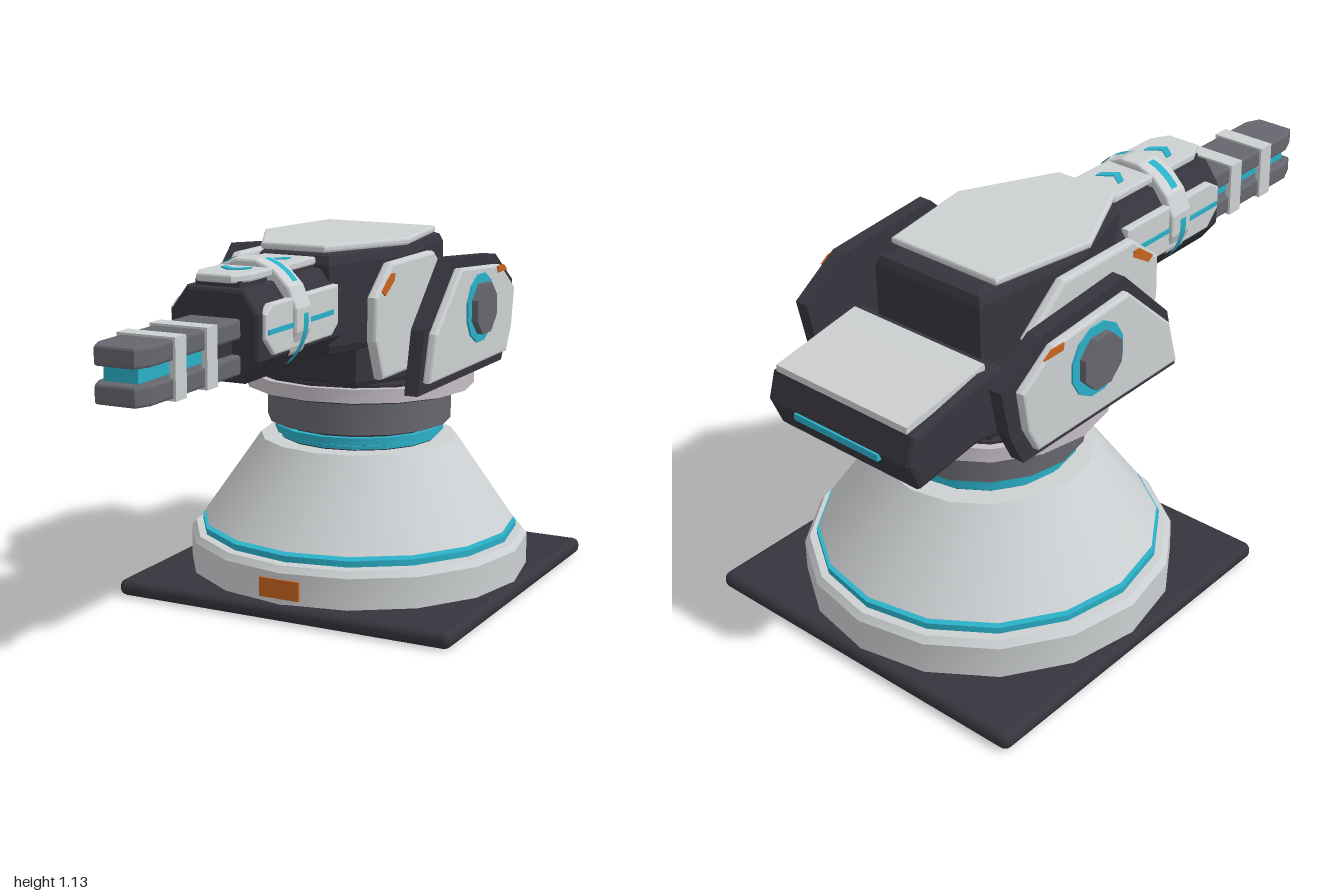
import * as THREE from 'three';
import { toCreasedNormals } from 'three/addons/utils/BufferGeometryUtils.js';
import { RoundedBoxGeometry } from 'three/addons/geometries/RoundedBoxGeometry.js';

const paint = (name, color, extra = {}) => {
  const m = new THREE.MeshStandardMaterial({ color, ...extra });
  m.name = name;
  return m;
};

export function createModel() {
  const dark = paint('charcoal', 0x36353e);
  const light = paint('light armour', 0xcdd0d2);
  const grey = paint('gunmetal', 0x66676e);
  const teal = paint('teal glow', 0x2ab0c8, { side: THREE.DoubleSide });
  const orange = paint('orange marking', 0xc8641e);
  const pale = paint('pale ring', 0xc6bfc6);

  const root = new THREE.Group();
  root.name = 'turret';
  const CZ = -0.415; // turning axis

  const add = (name, geo, mat, x = 0, y = 0, z = 0) => {
    const m = new THREE.Mesh(geo, mat);
    m.name = name;
    m.position.set(x, y, z);
    root.add(m);
    return m;
  };
  // Box from its limits
  const box = (name, mat, x0, x1, y0, y1, z0, z1, r = 0) => {
    const s = [x1 - x0, y1 - y0, z1 - z0];
    const g = r ? new RoundedBoxGeometry(...s, 2, r) : new THREE.BoxGeometry(...s);
    return add(name, g, mat, (x0 + x1) / 2, (y0 + y1) / 2, (z0 + z1) / 2);
  };
  // Bevelled slab between depths 0 and d
  const slab = (pts, d, b = 0, hole) => {
    const shape = new THREE.Shape(pts.map(p => new THREE.Vector2(...p)));
    if (hole) shape.holes.push(new THREE.Path(hole.map(p => new THREE.Vector2(...p))));
    const g = new THREE.ExtrudeGeometry(shape, {
      depth: d - 2 * b, bevelEnabled: b > 0, bevelSize: b, bevelThickness: b, bevelOffset: -b, bevelSegments: 2
    });
    return g.translate(0, 0, b);
  };
  // Outline in (z, y), spanning x0..x1
  const sidePlate = (name, mat, pts, x0, x1, b) =>
    add(name, slab(pts, x1 - x0, b).rotateY(-Math.PI / 2), mat, x1);
  const sidePair = (name, mat, pts, x0, x1, b) => {
    sidePlate(name + 'Left', mat, pts, x0, x1, b);
    sidePlate(name + 'Right', mat, pts, -x1, -x0, b);
  };
  // Outline in (x, z), spanning y0..y1
  const deckPlate = (name, mat, pts, y0, y1, b) =>
    add(name, slab(pts.map(([x, z]) => [x, -z]), y1 - y0, b).rotateX(-Math.PI / 2), mat, 0, y0);
  const ngon = (n, r, cy = 0) => Array.from({ length: n }, (_, i) => {
    const a = (i + 0.5) / n * Math.PI * 2;
    return [Math.cos(a) * r, cy + Math.sin(a) * r];
  });
  // Turned part on the turning axis
  const drum = (name, mat, r0, r1, y0, y1) => add(name,
    toCreasedNormals(new THREE.CylinderGeometry(r1, r0, y1 - y0, 16), 0.5), mat, 0, (y0 + y1) / 2, CZ);

  // Pedestal
  box('groundPlate', dark, -0.565, 0.565, 0, 0.052, -0.98, 0.15, 0.024);
  drum('baseDrum', light, 0.545, 0.545, 0.05, 0.15);
  drum('baseDrumBevel', light, 0.545, 0.53, 0.15, 0.17);
  drum('lowerGlowRing', teal, 0.508, 0.508, 0.175, 0.194);
  drum('lowerGap', dark, 0.44, 0.44, 0.165, 0.21);
  drum('cone', light, 0.5, 0.315, 0.205, 0.472);
  drum('neckCore', dark, 0.25, 0.25, 0.46, 0.65);
  drum('upperGlowTrim', teal, 0.255, 0.255, 0.476, 0.487);
  drum('upperGlowRing', teal, 0.27, 0.27, 0.492, 0.515);
  drum('neck', grey, 0.293, 0.293, 0.53, 0.63);
  drum('turntableSeat', dark, 0.342, 0.342, 0.637, 0.648);
  drum('turntable', pale, 0.365, 0.365, 0.645, 0.688);
  drum('turntableCap', dark, 0.342, 0.342, 0.687, 0.697);
  box('baseMarking', orange, -0.067, 0.067, 0.07, 0.13, 0.124, 0.133);

  // Hull
  deckPlate('hullBase', dark, [[-0.24, -0.66], [0.24, -0.66], [0.24, -0.25], [0.15, -0.08], [-0.15, -0.08], [-0.24, -0.25]], 0.69, 0.83, 0.02);
  deckPlate('hull', dark, [[-0.19, -0.63], [0.19, -0.63], [0.225, -0.25], [0.12, 0.04], [-0.12, 0.04], [-0.225, -0.25]], 0.8, 1.112, 0.035);
  deckPlate('roofPlate', light, [[-0.19, -0.565], [0.19, -0.565], [0.245, -0.24], [0.105, 0.04], [-0.105, 0.04], [-0.245, -0.24]], 1.112, 1.134, 0.007);

  // Cheek panels beside the hull
  sidePair('cheekPanel', light,
    [[-0.02, 0.74], [0.03, 0.86], [0.03, 0.99], [-0.08, 1.08], [-0.38, 1.08], [-0.53, 0.96], [-0.48, 0.74]], 0.235, 0.27, 0.01);
  sidePair('cheekMarking', orange, [[0.0, 1.005], [-0.06, 1.05], [-0.085, 1.05], [-0.085, 1.03], [-0.02, 0.99]], 0.268, 0.274, 0);

  // Outer shields with hubs
  sidePair('shield', dark,
    [[-0.024, 0.7], [-0.067, 0.89], [-0.26, 1.08], [-0.61, 1.05], [-0.76, 0.95], [-0.73, 0.8], [-0.68, 0.7]], 0.335, 0.378, 0);
  sidePair('shieldPanel', light,
    [[-0.055, 0.735], [-0.092, 0.875], [-0.275, 1.047], [-0.585, 1.022], [-0.71, 0.935], [-0.69, 0.81], [-0.65, 0.735]], 0.378, 0.408, 0.008);
  sidePair('shieldMarking', orange, [[-0.555, 1.0], [-0.55, 1.02], [-0.6, 1.02], [-0.63, 1.0]], 0.406, 0.412, 0);
  const disc = (n, r) => ngon(n, r).map(([z, y]) => [z + CZ, y + 0.91]);
  sidePair('hubGlow', teal, disc(12, 0.108), 0.405, 0.414, 0);
  sidePair('hub', grey, disc(8, 0.083), 0.405, 0.434, 0);

  // Rear counterweight
  sidePlate('counterweight', dark,
    [[-0.62, 0.72], [-0.62, 0.92], [-0.7, 0.93], [-0.96, 0.87], [-0.985, 0.79], [-0.95, 0.705], [-0.74, 0.735]], -0.265, 0.265, 0.015);
  sidePlate('counterweightPlate', light,
    [[-0.67, 0.925], [-0.67, 0.945], [-0.73, 0.935], [-0.965, 0.895], [-0.965, 0.875]], -0.24, 0.24, 0);
  box('rearGlow', teal, -0.155, 0.155, 0.77, 0.79, -0.992, -0.972);

  // Barrel housing
  const housing = [[-0.09, 0.805], [0.09, 0.805], [0.14, 0.87], [0.14, 1.0], [0.09, 1.068], [-0.09, 1.068], [-0.14, 1.0], [-0.14, 0.87]];
  add('barrelHousing', slab(housing, 0.51, 0.012), dark, 0, 0, -0.01);
  deckPlate('barrelTopSpine', dark, [[-0.07, 0.04], [0.07, 0.04], [0.07, 0.48], [-0.07, 0.48]], 1.06, 1.085, 0);
  deckPlate('barrelTopPlate', light, [[-0.085, 0.06], [0.085, 0.06], [0.085, 0.44], [0.055, 0.5], [-0.055, 0.5], [-0.085, 0.44]], 1.08, 1.104, 0.006);
  sidePair('barrelSidePanel', light,
    [[0.04, 0.91], [0.08, 0.88], [0.43, 0.88], [0.48, 0.93], [0.48, 1.0], [0.44, 1.025], [0.04, 1.025]], 0.125, 0.152, 0.006);
  for (const s of [-1, 1])
    box('sideGlow', teal, s * 0.152 - 0.004, s * 0.152 + 0.004, 0.942, 0.956, 0.08, 0.47);
  box('underGlow', teal, -0.05, 0.05, 0.8, 0.808, 0.1, 0.18);

  // Chevrons on the barrel plate
  for (const z of [0.13, 0.36])
    deckPlate('chevron', teal, [[-0.042, z], [0, z + 0.032], [0.042, z], [0.042, z + 0.026], [0, z + 0.06], [-0.042, z + 0.026]], 1.102, 1.108, 0);

  // Collar with glowing arcs
  add('collar', slab(ngon(16, 0.168, 0.96), 0.09, 0.008, ngon(16, 0.118, 0.96)), light, 0, 0, 0.235);
  const deg = Math.PI / 180;
  for (const [a, b] of [[38, 75], [-65, 6], [105, 142], [174, 245]]) {
    const arc = new THREE.CylinderGeometry(0.171, 0.171, 0.028, 8, 1, true, (a + 90) * deg, (b - a) * deg);
    add('collarGlow', arc.rotateX(Math.PI / 2), teal, 0, 0.96, 0.28);
  }

  // Twin rails with glowing core and clamps
  const rail = [[-0.082, 0.45], [0.082, 0.45], [0.082, 0.95], [0.06, 1.0], [-0.06, 1.0], [-0.082, 0.95]];
  deckPlate('upperRail', grey, rail, 0.93, 0.986, 0.008);
  deckPlate('lowerRail', grey, rail, 0.83, 0.886, 0.008);
  box('railCore', teal, -0.052, 0.052, 0.888, 0.928, 0.59, 0.97);
  box('railCoreRoot', dark, -0.055, 0.055, 0.886, 0.93, 0.45, 0.592);
  for (const z of [0.635, 0.795]) {
    for (const s of [-1, 1]) box('clampSide', light, s * 0.08 - 0.009, s * 0.08 + 0.009, 0.824, 0.992, z, z + 0.055);
    for (const y of [0.824, 0.976]) box('clampBar', light, -0.088, 0.088, y, y + 0.016, z, z + 0.055);
  }
  return root;
}
